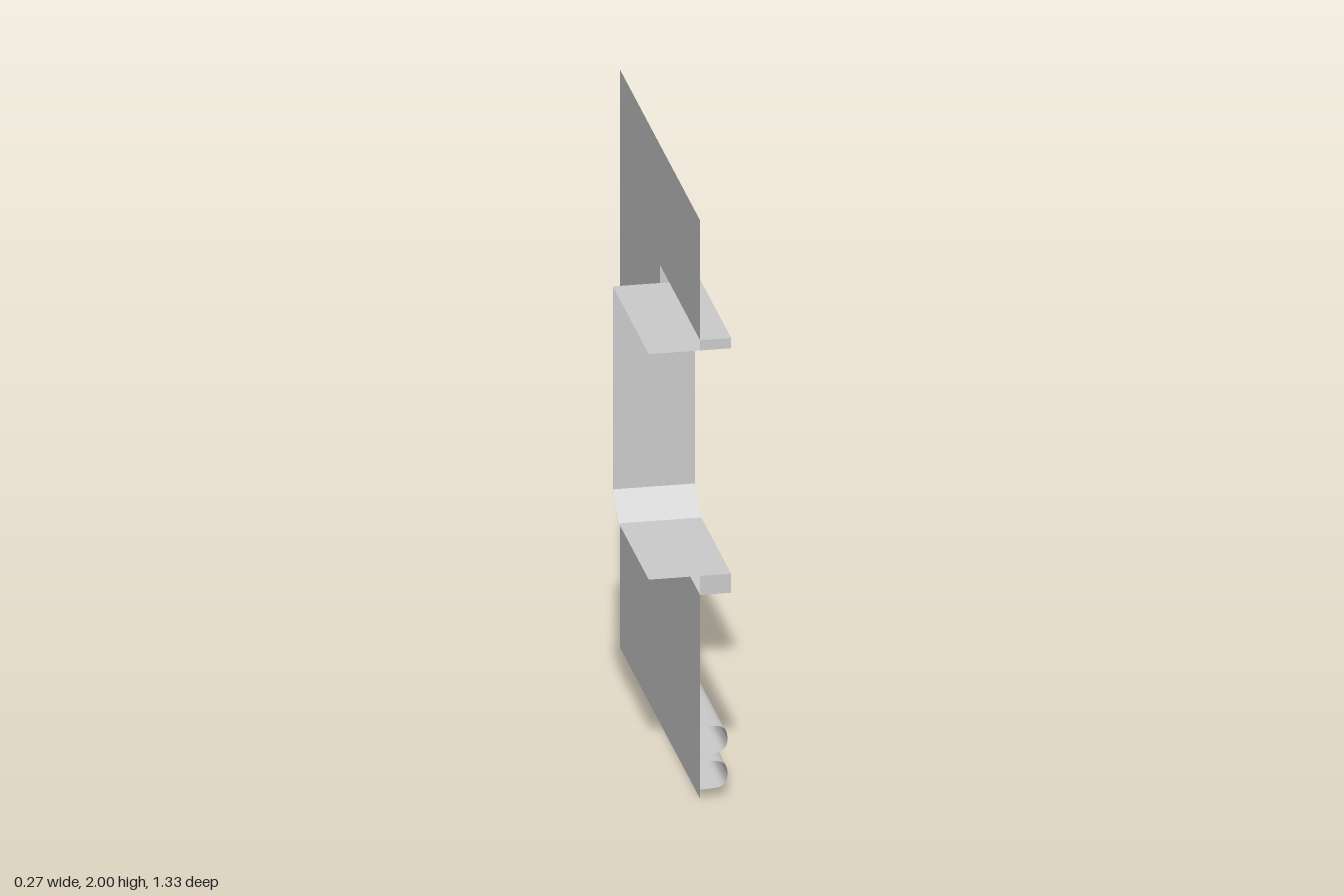
import * as THREE from 'three';

const HALF = 0.667;    // half the wall's length along z
const WALL_X = 0.033;  // plane of the wall
const TRIM_X = 0.135;  // face of the raised trim
const material = new THREE.MeshStandardMaterial({ color: 0xcccccc, side: THREE.DoubleSide });

// Outlines of the opening as [z, y], from the upper to the lower front end
const outer = [[HALF, 1.585], [0, 1.585], [0, 0.848], [0.17, 0.704], [HALF, 0.704]];
const inner = [[HALF, 1.55], [0.068, 1.55], [0.068, 0.848], [0.17, 0.77], [HALF, 0.77]];

function add(group, name, geometry) {
  const mesh = new THREE.Mesh(geometry, material);
  mesh.name = name;
  group.add(mesh);
  return mesh;
}

// Flat sheet in the z-y plane at a given x, facing +x
function sheet(points, x) {
  const shape = new THREE.Shape(points.map(([z, y]) => new THREE.Vector2(-z, y)));
  return new THREE.ShapeGeometry(shape).rotateY(Math.PI / 2).translate(x, 0, 0);
}

// Folded band that follows a [z, y] path between two x positions
function band(path, x0, x1) {
  const pos = [];
  for (let i = 0; i < path.length - 1; i++) {
    const [za, ya] = path[i], [zb, yb] = path[i + 1];
    pos.push(x0, ya, za, x1, ya, za, x1, yb, zb, x0, ya, za, x1, yb, zb, x0, yb, zb);
  }
  const g = new THREE.BufferGeometry();
  g.setAttribute('position', new THREE.Float32BufferAttribute(pos, 3));
  g.computeVertexNormals();
  return g;
}

// Rounded D-shaped rail section, flat side on the wall
function railSection(cy, grow) {
  const h = 0.049 + grow, w = 0.09 + grow;
  const top = [[0, h], [0.35 * w, 0.98 * h], [0.7 * w, 0.9 * h], [0.92 * w, 0.62 * h], [w, 0]];
  const all = [...top, ...top.slice(0, -1).reverse().map(([x, y]) => [x, -y])];
  return new THREE.SplineCurve(all.map(([x, y]) => new THREE.Vector2(WALL_X + x, cy + y))).getPoints(32);
}

// Open smooth shell running along z
function railShell(section, z0, z1) {
  const g = new THREE.PlaneGeometry(1, 1, section.length - 1, 1);
  const p = g.attributes.position;
  for (let i = 0; i < p.count; i++) {
    const s = section[i % section.length];
    p.setXYZ(i, s.x, s.y, i < section.length ? z0 : z1);
  }
  g.computeVertexNormals();
  // Keep the winding pointing outwards
  if (g.attributes.normal.getY(0) < 0) {
    const idx = Array.from(g.index.array);
    g.setIndex(idx.reverse());
    g.computeVertexNormals();
  }
  return g;
}

export function createModel() {
  const model = new THREE.Group();
  model.name = 'wallPanel';

  // Wall sheet, cut away around the opening
  add(model, 'wall', sheet([[HALF, 0], [-HALF, 0], [-HALF, 2], [HALF, 2], ...outer], WALL_X));

  // Raised trim and deep reveal lining the opening
  const frame = new THREE.Group();
  frame.name = 'openingFrame';
  model.add(frame);
  add(frame, 'trimFace', sheet([...outer, ...[...inner].reverse()], TRIM_X));
  add(frame, 'trimOuterEdge', band(outer, WALL_X, TRIM_X));
  add(frame, 'reveal', band(inner, -0.135, TRIM_X));
  for (const i of [0, 4]) {
    add(frame, 'trimEnd', band([outer[i], inner[i]], WALL_X, TRIM_X));
  }

  // Two hollow rails along the foot of the wall, each with a closed end fitting
  for (const cy of [0.08, 0.201]) {
    const rail = new THREE.Group();
    rail.name = 'rail';
    model.add(rail);
    add(rail, 'railShell', railShell(railSection(cy, 0), HALF, -0.635));
    const cap = new THREE.ExtrudeGeometry(new THREE.Shape(railSection(cy, 0.004)),
      { depth: 0.032, bevelEnabled: false });
    add(rail, 'railEndCap', cap.translate(0, 0, -HALF));
  }

  // Thin mounting plate behind the end fittings
  add(model, 'mountingPlate', new THREE.BoxGeometry(0.006, 0.255, 0.032))
    .position.set(WALL_X + 0.003, 0.14, -HALF + 0.016);

  return model;
}
